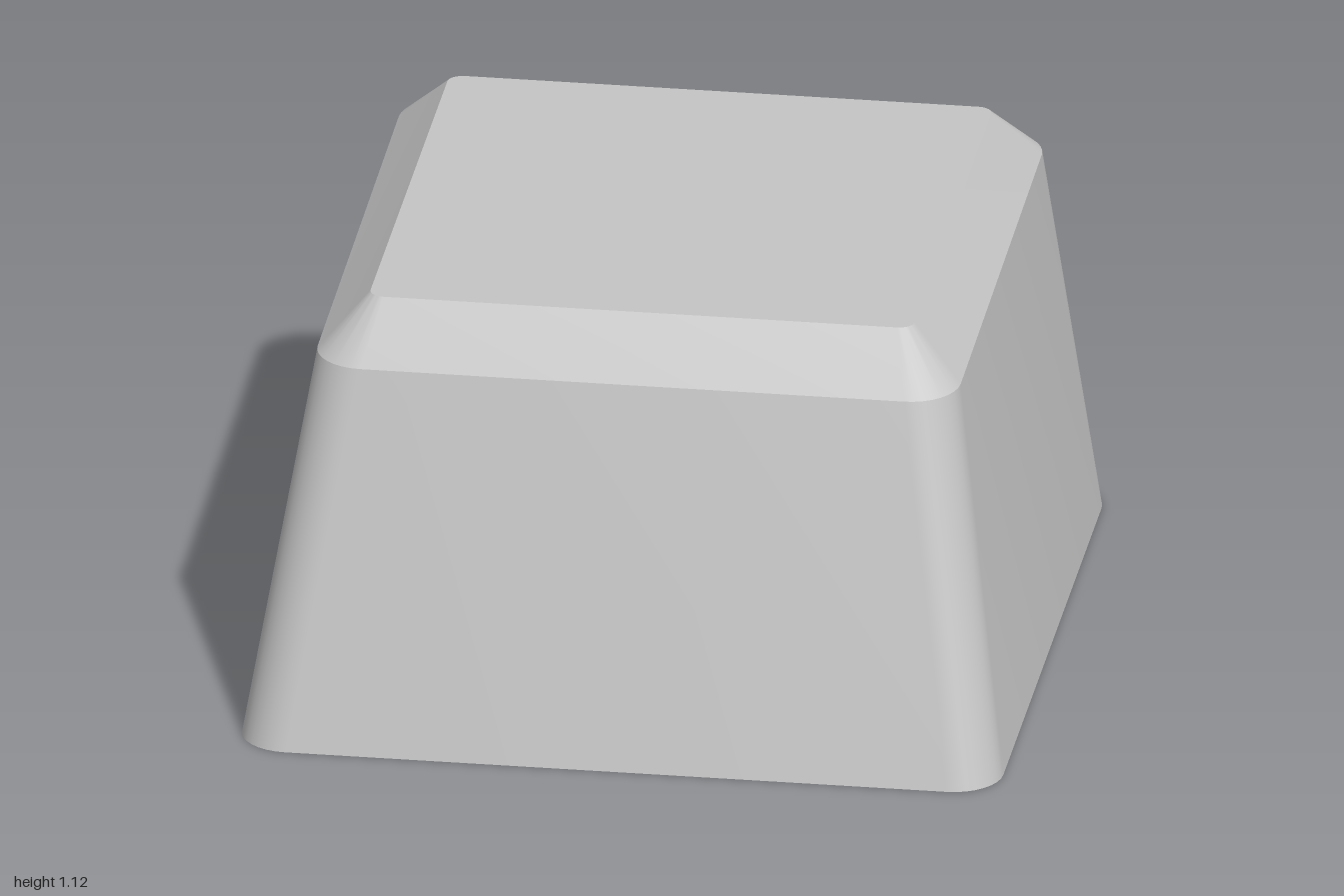
import * as THREE from 'three';
import { toCreasedNormals } from 'three/addons/utils/BufferGeometryUtils.js';

const CORNER_STEPS = 8;

// Rounded rectangle ring; y tilts along z by the given slope
function ring({ y, w, back, front, r = 0, slope = 0 }) {
  const mid = (back + front) / 2, d = (front - back) / 2;
  const pts = [];
  for (const [q, sx, sz] of [[0, 1, 1], [1, -1, 1], [2, -1, -1], [3, 1, -1]]) {
    for (let i = 0; i <= CORNER_STEPS; i++) {
      const a = (q + i / CORNER_STEPS) * Math.PI / 2;
      const x = sx * (w - r) + r * Math.cos(a);
      const z = mid + sz * (d - r) + r * Math.sin(a);
      pts.push(new THREE.Vector3(x, y + slope * z, z));
    }
  }
  return pts;
}

// Skin consecutive rings, leaving out collapsed triangles
function loft(sections) {
  const rings = sections.map(ring), pos = [];
  const tri = (a, b, c) => {
    if (new THREE.Triangle(a, b, c).getArea() < 1e-8) return;
    for (const p of [a, b, c]) pos.push(p.x, p.y, p.z);
  };
  for (let i = 0; i < rings.length - 1; i++) {
    const u = rings[i], v = rings[i + 1], n = u.length;
    for (let j = 0; j < n; j++) {
      const k = (j + 1) % n;
      tri(u[j], u[k], v[j]);
      tri(u[k], v[k], v[j]);
    }
  }
  const geo = new THREE.BufferGeometry();
  geo.setAttribute('position', new THREE.Float32BufferAttribute(pos, 3));
  return toCreasedNormals(geo, 0.48);
}

export function createModel() {
  const group = new THREE.Group();
  const plastic = new THREE.MeshStandardMaterial({ color: 0xc4c4c4 });
  plastic.name = 'grey plastic';
  const add = (name, geo) => {
    const mesh = new THREE.Mesh(geo, plastic);
    mesh.name = name;
    group.add(mesh);
    return mesh;
  };

  const opening = { y: 0, w: 0.82, back: -0.82, front: 0.82 };

  // Flat top, chamfer, sloping walls and bottom rim
  add('outerShell', loft([
    { y: 1.115, w: 0, back: -0.16, front: -0.16 },
    { y: 1.115, w: 0.715, back: -0.88, front: 0.56, r: 0.04 },
    { y: 0.985, w: 0.845, back: -0.985, front: 0.71, r: 0.13, slope: -0.018 },
    { y: 0, w: 1, back: -1, front: 1, r: 0.13 },
    opening,
  ]));

  // Hollow underside with a flat ceiling
  add('cavity', loft([
    opening,
    { y: 0.9, w: 0.69, back: -0.81, front: 0.56 },
    { y: 0.9, w: 0, back: -0.12, front: -0.12 },
  ]));

  // Round stem with a cross-shaped socket
  const shape = new THREE.Shape().absarc(0, 0, 0.31, 0, Math.PI * 2);
  const L = 0.23, t = 0.07;
  shape.holes.push(new THREE.Path([
    [L, t], [L, -t], [t, -t], [t, -L], [-t, -L], [-t, -t],
    [-L, -t], [-L, t], [-t, t], [-t, L], [t, L], [t, t],
  ].map(([x, y]) => new THREE.Vector2(x, y))));
  const stemGeo = new THREE.ExtrudeGeometry(shape, { depth: 0.69, bevelEnabled: false, curveSegments: 48 });
  stemGeo.rotateX(-Math.PI / 2);
  add('stem', toCreasedNormals(stemGeo, 0.5)).position.y = 0.23;

  return group;
}
